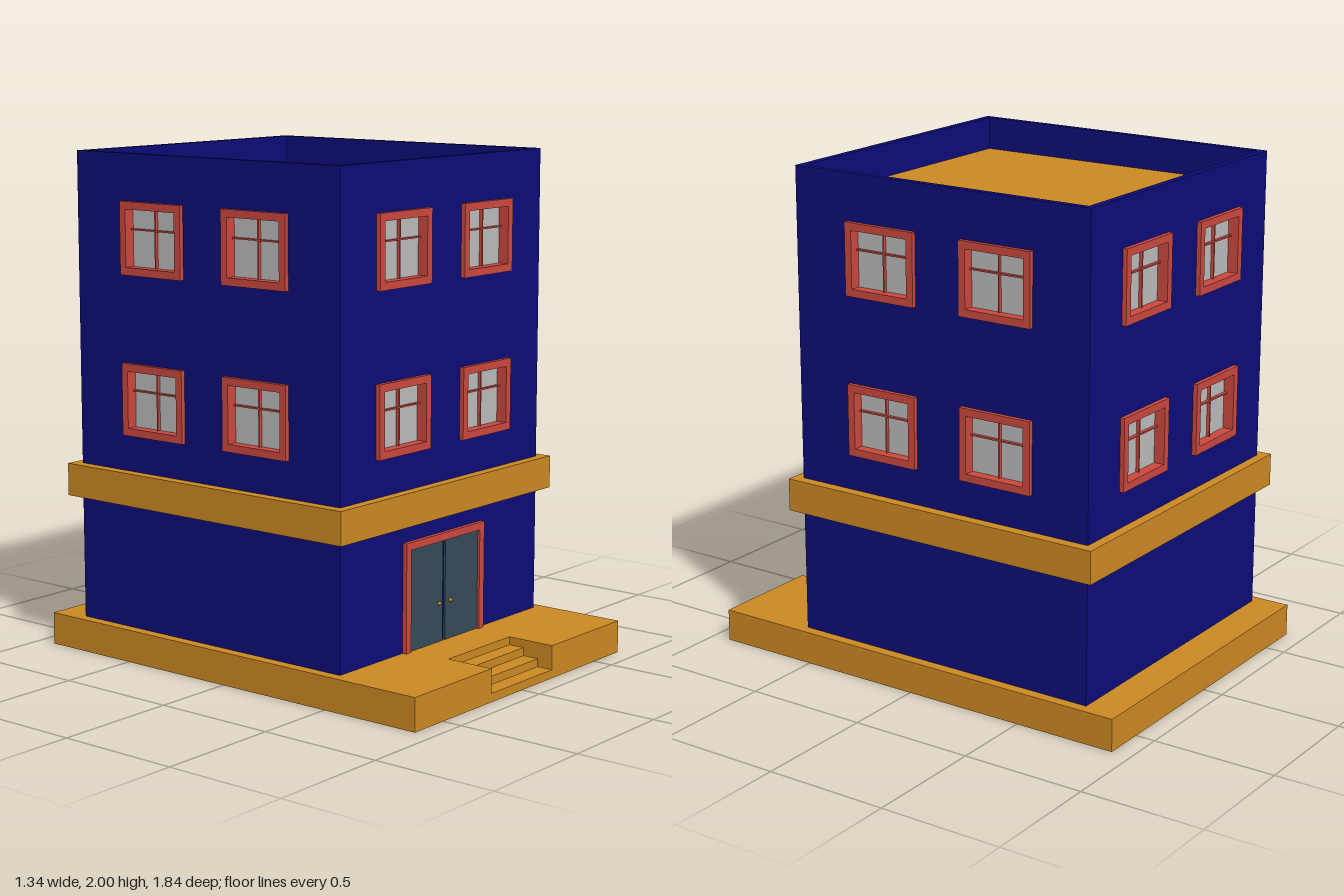
import * as THREE from 'three';

const material = (name, color) => new THREE.MeshStandardMaterial({ name, color });

export function createModel() {
  const navy = material('navy wall', 0x0c0c78);
  const ochre = material('ochre stone', 0xcb8823);
  const red = material('red trim', 0xca483e);
  const grey = material('grey glass', 0xbababa);
  const slate = material('slate door', 0x354a58);

  const model = new THREE.Group();
  model.name = 'building';

  const add = (parent, name, geometry, mat) => {
    const mesh = new THREE.Mesh(geometry, mat);
    mesh.name = name;
    parent.add(mesh);
    return mesh;
  };
  // Box given by its limits on each axis
  const box = (parent, name, mat, x0, x1, y0, y1, z0, z1) => {
    const mesh = add(parent, name, new THREE.BoxGeometry(x1 - x0, y1 - y0, z1 - z0), mat);
    mesh.position.set((x0 + x1) / 2, (y0 + y1) / 2, (z0 + z1) / 2);
    return mesh;
  };
  const rect = (Type, x0, x1, y0, y1) => new Type([
    new THREE.Vector2(x0, y0), new THREE.Vector2(x1, y0),
    new THREE.Vector2(x1, y1), new THREE.Vector2(x0, y1),
  ]);
  // Extruded outline spanning z0 to z1
  const slab = (shape, z0, z1) =>
    new THREE.ExtrudeGeometry(shape, { depth: z1 - z0, bevelEnabled: false }).translate(0, 0, z0);

  const T = 0.027; // wall thickness
  const centreZ = -0.12;
  const halfX = 0.627;
  const halfZ = 0.66;
  const baseTop = 0.13;

  // Base, with a porch cut by a small flight of steps
  box(model, 'base', ochre, -0.67, 0.67, 0, baseTop, -0.92, 0.665);
  box(model, 'porchBack', ochre, -0.2, 0.2, 0, baseTop, 0.665, 0.72);
  for (const s of [-1, 1]) {
    box(model, 'porchSide', ochre, Math.min(s * 0.2, s * 0.67), Math.max(s * 0.2, s * 0.67),
      0, baseTop, 0.665, 0.92);
  }
  [0.098, 0.066, 0.034].forEach((top, i) => {
    const z = 0.72 + i * 0.0667;
    box(model, 'step', ochre, -0.2, 0.2, 0, top, z, z + 0.0667);
  });

  // Window centred on (x, y) of a wall whose outer face is z = 0
  const addWindow = (wall, x, y) => {
    const win = new THREE.Group();
    win.name = 'window';
    win.position.set(x, y, 0);
    wall.add(win);
    const frame = rect(THREE.Shape, -0.157, 0.157, -0.142, 0.142);
    frame.holes.push(rect(THREE.Path, -0.127, 0.127, -0.112, 0.112));
    add(win, 'windowFrame', slab(frame, -T, 0.018), red);
    box(win, 'windowGlass', grey, -0.13, 0.13, -0.115, 0.115, -T - 0.006, -T + 0.001);
    box(win, 'mullion', red, -0.003, 0.003, -0.112, 0.112, -T, -T + 0.014);
    box(win, 'glazingBar', red, -0.127, 0.127, 0.03, 0.036, -T, -T + 0.014);
  };

  // Four walls, each pierced by two rows of two windows
  const walls = [
    ['frontWall', 0, halfX, 0, centreZ + halfZ],
    ['backWall', Math.PI, halfX, 0, centreZ - halfZ],
    ['leftWall', Math.PI / 2, halfZ - T, halfX, centreZ],
    ['rightWall', -Math.PI / 2, halfZ - T, -halfX, centreZ],
  ];
  for (const [name, turn, half, x, z] of walls) {
    const wall = new THREE.Group();
    wall.name = name;
    wall.position.set(x, 0, z);
    wall.rotation.y = turn;
    model.add(wall);
    const outline = rect(THREE.Shape, -half, half, baseTop, 2);
    for (const wx of [-0.26, 0.26]) {
      for (const wy of [1.046, 1.675]) {
        outline.holes.push(rect(THREE.Path, wx - 0.15, wx + 0.15, wy - 0.135, wy + 0.135));
        addWindow(wall, wx, wy);
      }
    }
    add(wall, 'wallPanel', slab(outline, -T, 0), navy);
  }

  // Sunken roof and the ledge above the ground floor
  const inX = halfX - T;
  const inZ = halfZ - T;
  box(model, 'roof', ochre, -inX, inX, 1.84, 1.87, centreZ - inZ, centreZ + inZ);
  box(model, 'ledge', ochre, -0.67, 0.67, 0.63, 0.76, -0.82, 0.58);

  // Double door
  const door = new THREE.Group();
  door.name = 'door';
  door.position.z = centreZ + halfZ;
  model.add(door);
  const doorFrame = new THREE.Shape([
    [-0.25, 0.13], [-0.22, 0.13], [-0.22, 0.53], [0.22, 0.53],
    [0.22, 0.13], [0.25, 0.13], [0.25, 0.56], [-0.25, 0.56],
  ].map(([x, y]) => new THREE.Vector2(x, y)));
  add(door, 'doorFrame', slab(doorFrame, 0, 0.018), red);
  for (const s of [-1, 1]) {
    const leaf = box(door, 'doorLeaf', slate, -0.106, 0.106, 0.13, 0.53, 0, 0.008);
    leaf.position.x = s * 0.114;
    const knob = add(door, 'doorKnob', new THREE.SphereGeometry(0.008, 12, 8), ochre);
    knob.position.set(s * 0.036, 0.285, 0.014);
  }

  return model;
}
